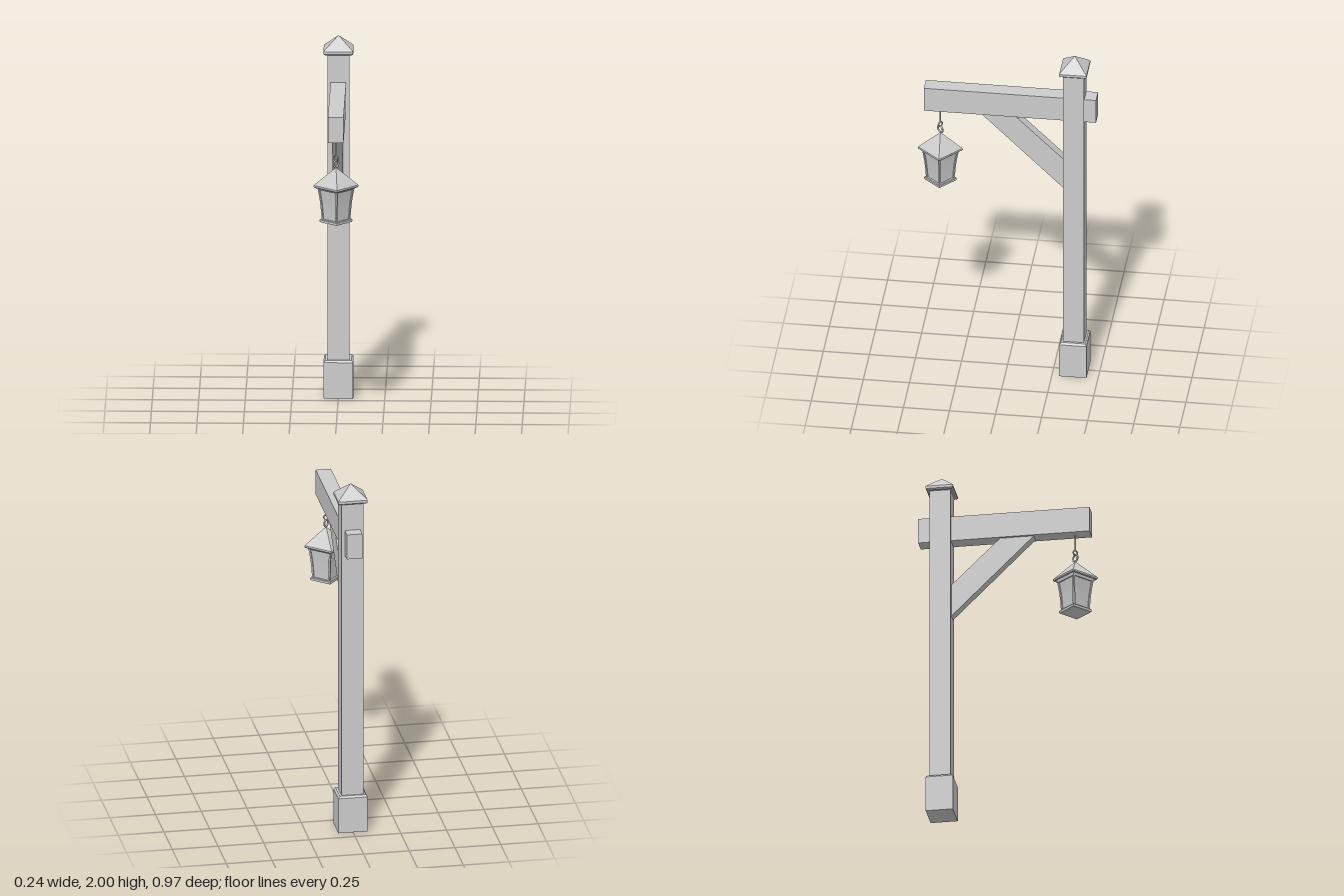
import * as THREE from 'three';

const material = new THREE.MeshStandardMaterial({ color: 0xcccccc, flatShading: true });
const smooth = new THREE.MeshStandardMaterial({ color: 0xcccccc });

function add(parent, name, geometry, x = 0, y = 0, z = 0, mat = material) {
  const mesh = new THREE.Mesh(geometry, mat);
  mesh.name = name;
  mesh.position.set(x, y, z);
  parent.add(mesh);
  return mesh;
}

// Four-sided turned form; profile is [corner radius, height] from bottom to top, corners on the axes
function fourSided(profile) {
  return new THREE.LatheGeometry(profile.map(([r, y]) => new THREE.Vector2(r, y)), 4);
}

// Square stacked form aligned with x and z; profile is [half width, height]
function squareForm(profile, depthRatio = 1) {
  return fourSided(profile.map(([h, y]) => [h * Math.SQRT2, y]))
    .rotateY(Math.PI / 4).scale(1, 1, depthRatio);
}

function createLantern() {
  const lantern = new THREE.Group();
  lantern.name = 'lantern';

  // Flared body outline, shared by panes and corner bars
  const flare = [[0.076, 1.165], [0.079, 1.21], [0.084, 1.26], [0.091, 1.305], [0.099, 1.345]];
  add(lantern, 'panes', fourSided(flare.map(([r, y]) => [r - 0.007, y])));
  const path = new THREE.CatmullRomCurve3(flare.map(([r, y]) => new THREE.Vector3(r - 0.005, y, 0)));
  for (let i = 0; i < 4; i++) {
    const bar = add(lantern, 'cornerBar', new THREE.TubeGeometry(path, 8, 0.007, 4));
    bar.rotation.y = i * Math.PI / 2;
  }

  // Rails, floor plate and overhanging roof
  add(lantern, 'topRail', fourSided([[0.085, 1.33], [0.099, 1.33], [0.101, 1.347], [0, 1.347]]));
  add(lantern, 'floorPlate', fourSided([[0, 1.15], [0.086, 1.15], [0.088, 1.154], [0.088, 1.163], [0.083, 1.167], [0, 1.167]]));
  add(lantern, 'roof', fourSided([[0, 1.35], [0.105, 1.35], [0.115, 1.34], [0.121, 1.345], [0.12, 1.354], [0.055, 1.408], [0, 1.452]]));

  // Hanging rings and hook rod
  const lowerRing = add(lantern, 'lowerRing', new THREE.TorusGeometry(0.019, 0.005, 8, 20), 0, 1.473, 0, smooth);
  lowerRing.rotation.y = Math.PI / 4;
  const upperRing = add(lantern, 'upperRing', new THREE.TorusGeometry(0.014, 0.004, 8, 20), 0, 1.504, 0, smooth);
  upperRing.rotation.y = -Math.PI / 4;
  add(lantern, 'hookRod', new THREE.CylinderGeometry(0.004, 0.004, 0.1, 8), 0, 1.567, 0, smooth);

  lantern.position.z = 0.365;
  lantern.rotation.y = 0.066;
  return lantern;
}

export function createModel() {
  const model = new THREE.Group();
  model.name = 'lanternPost';
  const postZ = -0.364;

  // Post with its foot and pointed cap
  add(model, 'post', new THREE.BoxGeometry(0.118, 1.77, 0.114), 0, 1.035, postZ);
  add(model, 'foot', squareForm([[0, 0], [0.08, 0], [0.08, 0.2], [0.071, 0.211], [0, 0.211]], 0.925), 0, 0, postZ);
  add(model, 'cap', squareForm([[0, 1.905], [0.072, 1.905], [0.08, 1.912], [0.08, 1.926], [0.073, 1.934], [0, 2]], 0.925), 0, 0, postZ);

  // Beam running through the post
  add(model, 'beam', new THREE.BoxGeometry(0.084, 0.142, 0.934), 0, 1.681, -0.018);

  // Diagonal brace, drawn in the side plane and extruded across x
  const side = new THREE.Shape([[-0.145, 1.612], [0.04, 1.612], [0.308, 1.352], [0.308, 1.168]]
    .map(([u, v]) => new THREE.Vector2(u, v)));
  const brace = new THREE.ExtrudeGeometry(side, { depth: 0.056, bevelEnabled: false });
  brace.translate(0, 0, -0.028).rotateY(Math.PI / 2);
  add(model, 'brace', brace);

  model.add(createLantern());
  return model;
}
